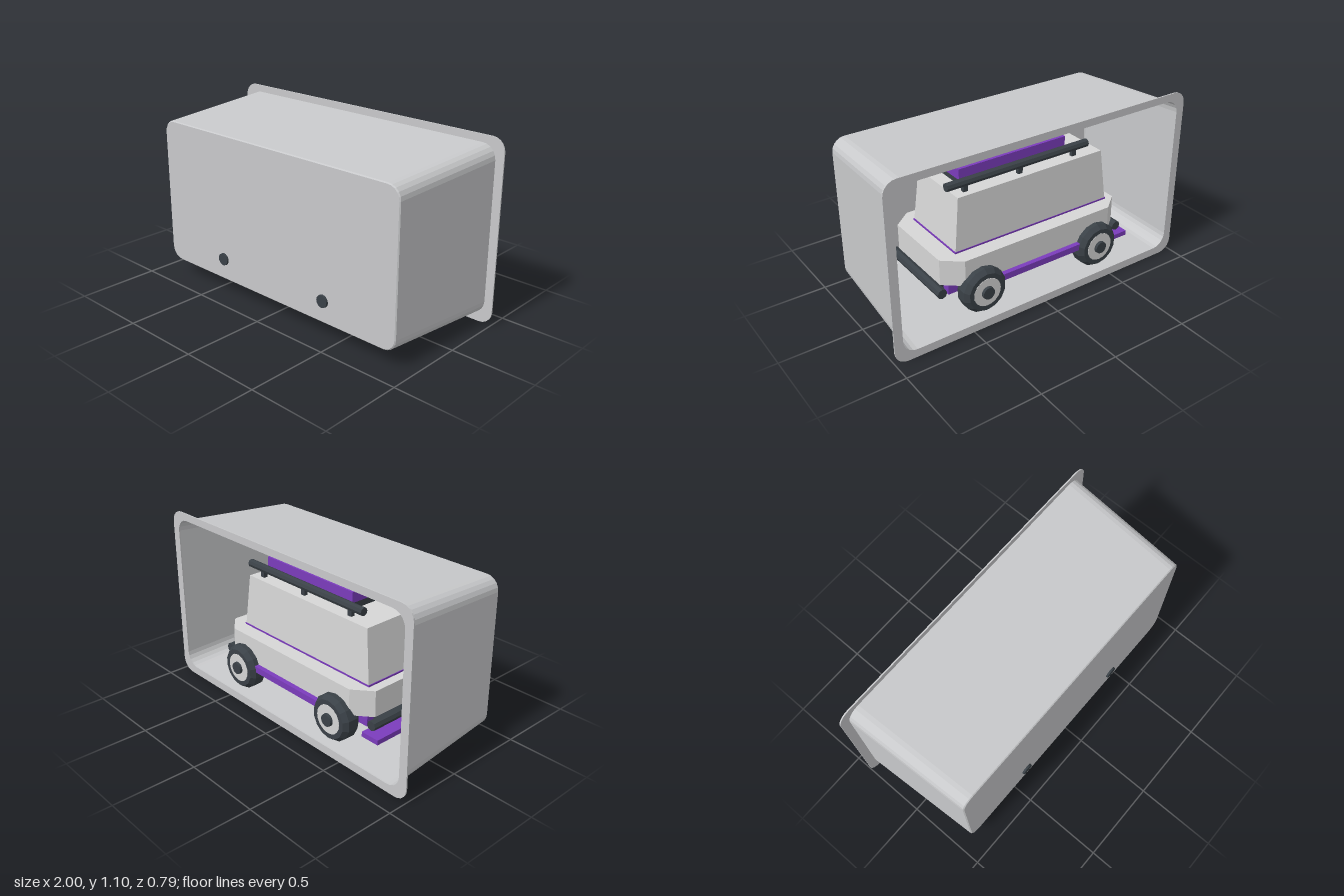
import * as THREE from 'three';

const mat = (name, color, extra = {}) => {
  const m = new THREE.MeshStandardMaterial({ color, flatShading: true, ...extra });
  m.name = name;
  return m;
};

// Points of a rounded rectangle, counter-clockwise seen from +z
function roundedRect(hw, hh, cy, r, seg = 5) {
  const pts = [];
  [[1, 1], [-1, 1], [-1, -1], [1, -1]].forEach(([sx, sy], q) => {
    for (let i = 0; i <= seg; i++) {
      const a = (q + i / seg) * Math.PI / 2;
      pts.push(new THREE.Vector2(sx * (hw - r) + r * Math.cos(a), cy + sy * (hh - r) + r * Math.sin(a)));
    }
  });
  return pts;
}

// Skin joining rounded-rectangle sections [halfWidth, halfHeight, centreY, radius, z]
function loft(sections) {
  const pos = [], idx = [];
  let n = 0;
  for (const [hw, hh, cy, r, z] of sections) {
    const ring = roundedRect(hw, hh, cy, r);
    n = ring.length;
    for (const p of ring) pos.push(p.x, p.y, z);
  }
  for (let s = 0; s < sections.length - 1; s++) {
    for (let i = 0; i < n; i++) {
      const a = s * n + i, b = s * n + (i + 1) % n;
      idx.push(a, b, b + n, a, b + n, a + n);
    }
  }
  const g = new THREE.BufferGeometry();
  g.setAttribute('position', new THREE.Float32BufferAttribute(pos, 3));
  g.setIndex(idx);
  g.computeVertexNormals();
  return g;
}

// Plan outline with cut corners, extruded upwards
function chamferedSlab(x, z, cx, cz, y0, y1) {
  const s = new THREE.Shape([
    [x, z - cz], [x - cx, z], [-x + cx, z], [-x, z - cz],
    [-x, -z + cz], [-x + cx, -z], [x - cx, -z], [x, -z + cz],
  ].map(([a, b]) => new THREE.Vector2(a, b)));
  const g = new THREE.ExtrudeGeometry(s, { depth: y1 - y0, bevelEnabled: false });
  return g.rotateX(-Math.PI / 2).translate(0, y0, 0);
}

// Box given by its limits
function span(x0, x1, y0, y1, z0, z1) {
  return new THREE.BoxGeometry(x1 - x0, y1 - y0, z1 - z0)
    .translate((x0 + x1) / 2, (y0 + y1) / 2, (z0 + z1) / 2);
}

export function createModel() {
  const trayGrey = mat('tray grey', 0xc8c9cb, { side: THREE.DoubleSide });
  const bodyGrey = mat('body light grey', 0xd6d6d6);
  const dark = mat('dark rubber', 0x3a4147);
  const purple = mat('purple trim', 0x7b3cbc);

  const model = new THREE.Group();
  model.name = 'vanInTray';
  const add = (parent, name, geo, material) => {
    const m = new THREE.Mesh(geo, material);
    m.name = name;
    parent.add(m);
    return m;
  };

  // Tray: tapered walls, front panel and rim around the open back
  const tray = new THREE.Group();
  tray.name = 'tray';
  model.add(tray);
  add(tray, 'trayWalls', loft([
    [0.948, 0.503, 0.553, 0.085, -0.38],
    [0.908, 0.456, 0.553, 0.08, 0.378],
    [0.902, 0.45, 0.553, 0.075, 0.384],
  ]), trayGrey);
  add(tray, 'trayFront', new THREE.ShapeGeometry(
    new THREE.Shape(roundedRect(0.902, 0.45, 0.553, 0.075))).translate(0, 0, 0.384), trayGrey);
  const rim = new THREE.Shape(roundedRect(1, 0.55, 0.55, 0.08));
  rim.holes.push(new THREE.Path(roundedRect(0.947, 0.502, 0.553, 0.085).reverse()));
  add(tray, 'trayRim', new THREE.ExtrudeGeometry(rim, { depth: 0.008, bevelEnabled: false })
    .translate(0, 0, -0.384), trayGrey);

  // Van, nose towards -x
  const van = new THREE.Group();
  van.name = 'van';
  model.add(van);
  add(van, 'lowerBody', chamferedSlab(0.62, 0.32, 0.11, 0.09, 0.28, 0.44), bodyGrey);
  add(van, 'chassis', span(-0.58, 0.58, 0.21, 0.28, -0.25, 0.25), purple);
  add(van, 'waistTrim', span(-0.565, 0.515, 0.44, 0.45, -0.228, 0.228), purple);

  // Cabin narrows towards the roof
  const cabin = new THREE.BoxGeometry(1.07, 0.32, 0.45);
  const p = cabin.attributes.position;
  for (let i = 0; i < p.count; i++) {
    if (p.getY(i) > 0) p.setXYZ(i, p.getX(i) * 0.935, p.getY(i), p.getZ(i) * 0.93);
  }
  cabin.computeVertexNormals();
  add(van, 'cabin', cabin.translate(-0.025, 0.61, 0), bodyGrey);

  // Roof load on its base
  add(van, 'roofBase', span(-0.3, 0.39, 0.76, 0.82, -0.1, 0.1), dark);
  add(van, 'roofBox', span(-0.32, 0.41, 0.82, 0.885, -0.12, 0.12), purple);

  for (const s of [-1, 1]) {
    // Running boards, roof rails and their posts
    add(van, 'runningBoard', span(-0.3, 0.3, 0.24, 0.28, s * 0.3 - 0.05, s * 0.3 + 0.05), purple);
    add(van, 'roofRail', new THREE.CylinderGeometry(0.025, 0.025, 0.97, 8)
      .rotateZ(Math.PI / 2).translate(0.035, 0.825, s * 0.16), dark);
    for (const x of [-0.35, 0.035, 0.4]) {
      add(van, 'railPost', span(x - 0.015, x + 0.015, 0.765, 0.82, s * 0.16 - 0.012, s * 0.16 + 0.012), dark);
    }
    // Bumpers
    add(van, 'bumper', new THREE.CylinderGeometry(0.03, 0.03, 0.54, 8)
      .rotateX(Math.PI / 2).translate(s * 0.63, 0.245, 0), dark);
    add(van, 'bumperMount', span(s * 0.59 - 0.04, s * 0.59 + 0.04, 0.225, 0.265, -0.2, 0.2), dark);
  }
  add(van, 'frontSkidPlate', span(-0.7, -0.58, 0.165, 0.195, -0.29, 0.29), purple);
  add(van, 'skidBracket', span(-0.62, -0.54, 0.18, 0.24, -0.15, 0.15), purple);

  // Wheels: tyre, hub disc and cap
  const tyre = new THREE.LatheGeometry(
    [[0, 0.25], [0.11, 0.25], [0.14, 0.285], [0.14, 0.35], [0.118, 0.378], [0.09, 0.378], [0.085, 0.365], [0, 0.365]]
      .map(([r, y]) => new THREE.Vector2(r, y)), 14).rotateX(Math.PI / 2);
  const disc = (r0, r1, z0, z1, n) => new THREE.CylinderGeometry(r1, r0, z1 - z0, n)
    .rotateX(Math.PI / 2).translate(0, 0, (z0 + z1) / 2);
  const hub = disc(0.09, 0.088, 0.36, 0.379, 20);
  const cap = disc(0.04, 0.037, 0.37, 0.396, 20);
  for (const x of [-0.405, 0.405]) {
    for (const turn of [0, Math.PI]) {
      const wheel = new THREE.Group();
      wheel.name = 'wheel';
      wheel.position.set(x, 0.23, 0);
      wheel.rotation.y = turn;
      add(wheel, 'tyre', tyre, dark);
      add(wheel, 'hub', hub, bodyGrey);
      add(wheel, 'hubCap', cap, dark);
      van.add(wheel);
    }
    add(van, 'axle', new THREE.CylinderGeometry(0.025, 0.025, 0.56, 8)
      .rotateX(Math.PI / 2).translate(x, 0.23, 0), dark);
  }
  return model;
}
